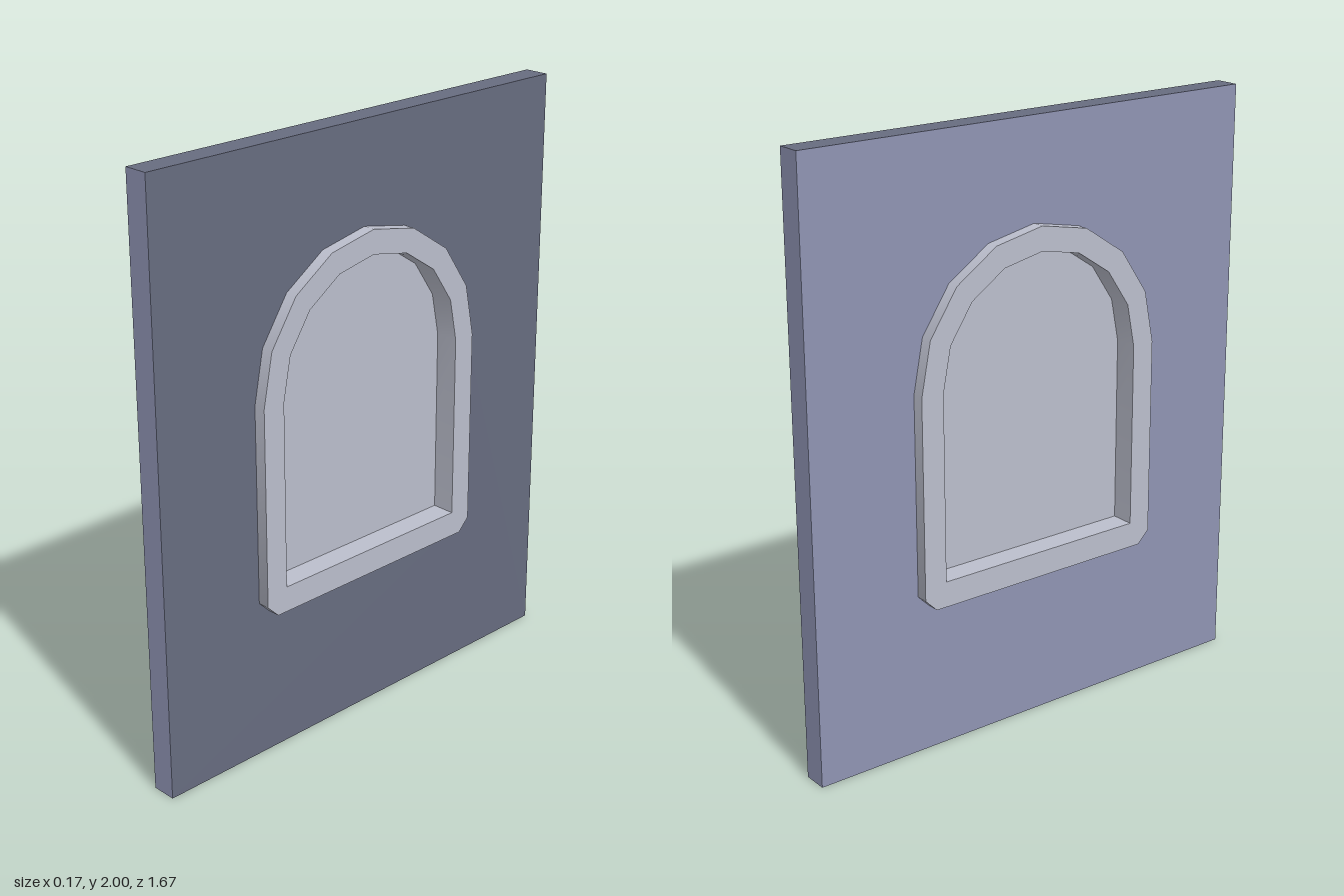
import * as THREE from 'three';
import { toCreasedNormals } from 'three/addons/utils/BufferGeometryUtils.js';

const material = (name, color) => {
  const m = new THREE.MeshStandardMaterial({ color, side: THREE.DoubleSide });
  m.name = name;
  return m;
};

// Arched outline: eight-sided half circle over straight sides, optional cut lower corners
function archPoints(r, bottom, cut = 0) {
  const spring = 1.208, points = [];
  for (let i = 0; i <= 8; i++) {
    const a = (i / 8) * Math.PI;
    points.push(new THREE.Vector2(r * Math.cos(a), spring + r * Math.sin(a)));
  }
  if (cut) points.push(new THREE.Vector2(-r, bottom + cut), new THREE.Vector2(-r + cut, bottom),
    new THREE.Vector2(r - cut, bottom), new THREE.Vector2(r, bottom + cut));
  else points.push(new THREE.Vector2(-r, bottom), new THREE.Vector2(r, bottom));
  return points;
}

export function createModel() {
  const group = new THREE.Group();
  const darkWall = material('dark slate wall', 0x676c80);
  const lightWall = material('light slate wall', 0x8f94b3);
  const trim = material('pale trim', 0xbbbecc);

  const W = 0.833, H = 2, T = 0.042, F = 0.083;
  const add = (name, geometry, mat) => {
    const mesh = new THREE.Mesh(geometry, mat);
    mesh.name = name;
    group.add(mesh);
    return mesh;
  };

  const outer = archPoints(0.458, 0.5, 0.042);
  const inner = archPoints(0.378, 0.586);

  // Two broad wall faces with the window opening
  const wallShape = new THREE.Shape([[-W, 0], [W, 0], [W, H], [-W, H]].map(p => new THREE.Vector2(...p)));
  wallShape.holes.push(new THREE.Path(outer));
  for (const s of [1, -1]) {
    const face = new THREE.ShapeGeometry(wallShape).rotateY(s * Math.PI / 2).translate(s * T, 0, 0);
    add(s > 0 ? 'leftWallFace' : 'rightWallFace', face, s > 0 ? darkWall : lightWall);
  }

  // Narrow wall ends and top; the underside is open
  for (const s of [1, -1]) {
    const end = new THREE.PlaneGeometry(2 * T, H).rotateY(s > 0 ? 0 : Math.PI).translate(0, H / 2, s * W);
    add(s > 0 ? 'frontWallEnd' : 'backWallEnd', end, lightWall);
  }
  add('wallTop', new THREE.PlaneGeometry(2 * T, 2 * W).rotateX(-Math.PI / 2).translate(0, H, 0), darkWall);

  // Window frame standing proud of both faces
  const frameShape = new THREE.Shape(outer);
  frameShape.holes.push(new THREE.Path(inner));
  const frame = new THREE.ExtrudeGeometry(frameShape, { depth: 2 * F, bevelEnabled: false });
  frame.translate(0, 0, -F).rotateY(Math.PI / 2);
  add('windowFrame', toCreasedNormals(frame, 0.9), trim);

  // Thin pane in the middle of the frame
  const pane = new THREE.ExtrudeGeometry(new THREE.Shape(inner), { depth: 0.006, bevelEnabled: false });
  add('windowPane', pane.translate(0, 0, -0.003).rotateY(Math.PI / 2), trim);

  return group;
}
